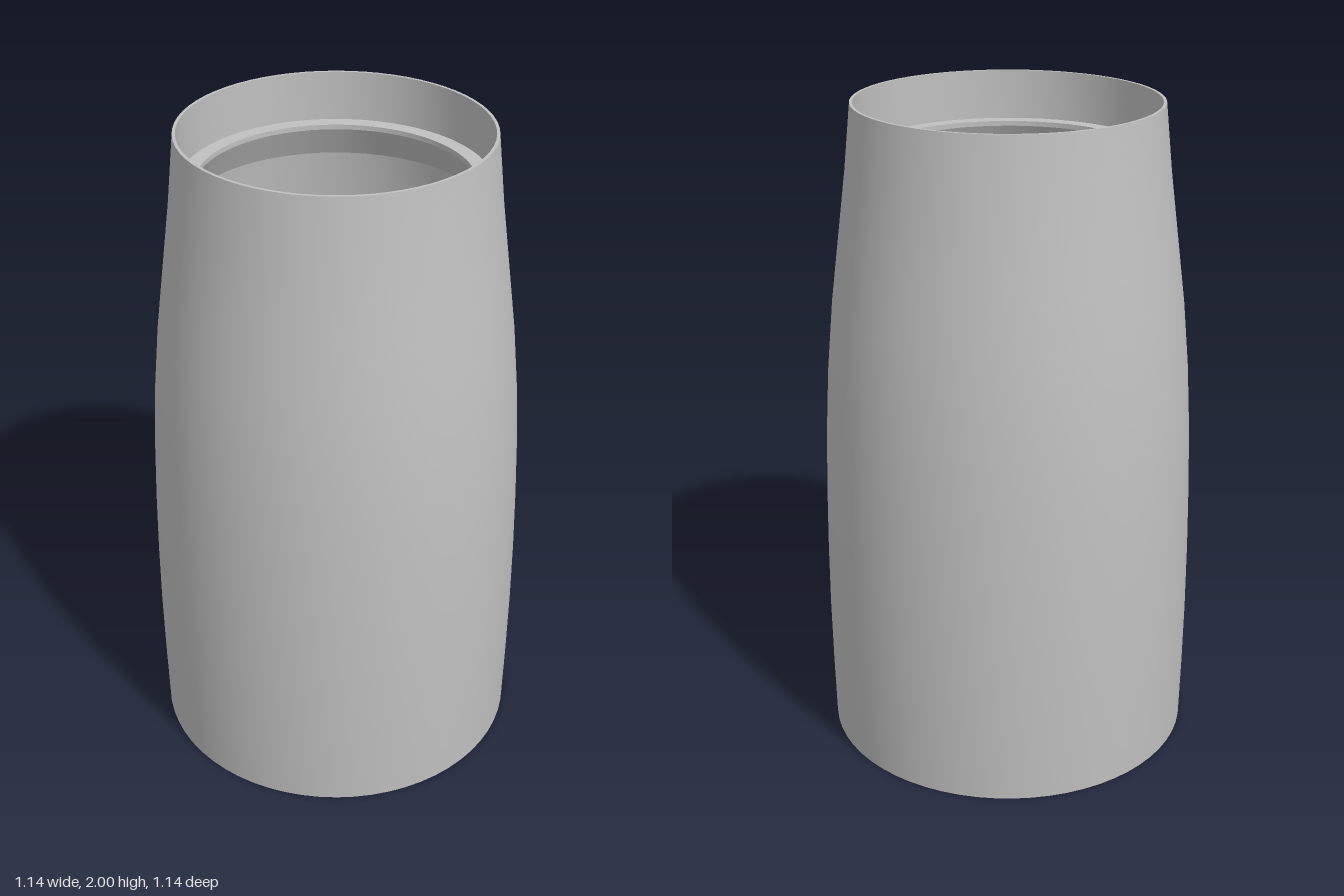
import * as THREE from 'three';
import { toCreasedNormals } from 'three/addons/utils/BufferGeometryUtils.js';

const FLOOR = 0.05;  // floor thickness
const WALL = 0.035;  // shell thickness below the lip

// Hole outlines for the floor (shape y points to the back)
function rectHole(x0, x1, y0, y1) {
  const p = new THREE.Path();
  p.moveTo(x0, y0);
  p.lineTo(x0, y1);
  p.lineTo(x1, y1);
  p.lineTo(x1, y0);
  p.closePath();
  return p;
}

function roundHole(x, y, r) {
  return new THREE.Path().absarc(x, y, r, 0, Math.PI * 2, true);
}

export function createModel() {
  const group = new THREE.Group();
  group.name = 'hollowHousing';
  const grey = new THREE.MeshStandardMaterial({ color: 0xc0c0c0 });
  grey.name = 'plain grey';

  const add = (name, geometry) => {
    const mesh = new THREE.Mesh(geometry, grey);
    mesh.name = name;
    group.add(mesh);
  };
  const lathe = (points) => toCreasedNormals(
    new THREE.LatheGeometry(points.map(([r, y]) => new THREE.Vector2(r, y)), 64), Math.PI / 7);

  // Tapered outer skin, from the base edge up to the rim
  const skin = [
    [0.565, 0], [0.569, 0.2], [0.571, 0.4], [0.57, 0.6], [0.566, 0.8], [0.559, 1.0],
    [0.547, 1.2], [0.528, 1.4], [0.502, 1.6], [0.476, 1.8], [0.455, 2],
  ];
  add('outerWall', lathe([[0.545, 0], ...skin]));

  // Thin rim, recess and inward lip with a sloping underside
  add('rimAndLip', lathe([
    [0.455, 2], [0.446, 2], [0.446, 1.85], [0.4, 1.85], [0.4, 1.835], [0.447, 1.74],
  ]));

  // Inner wall follows the outer skin down to the floor
  const inner = skin.slice(1, -2).reverse().map(([r, y]) => [r - WALL, y]);
  add('innerWall', lathe([[0.447, 1.74], ...inner, [0.53, FLOOR]]));

  // Floor with strap slots, back slot, cable hole and four screw holes
  const floor = new THREE.Shape().absarc(0, 0, 0.55, 0, Math.PI * 2, false);
  floor.holes.push(rectHole(-0.145, 0.145, 0.31, 0.4));
  for (const s of [-1, 1]) floor.holes.push(rectHole(s * 0.28 - 0.02, s * 0.28 + 0.02, -0.127, 0.127));
  floor.holes.push(roundHole(0, -0.365, 0.059));
  for (let i = 0; i < 4; i++) {
    const a = THREE.MathUtils.degToRad(40 + 90 * i);
    floor.holes.push(roundHole(0.505 * Math.cos(a), 0.505 * Math.sin(a), 0.017));
  }
  const floorGeometry = new THREE.ExtrudeGeometry(floor, { depth: FLOOR, bevelEnabled: false, curveSegments: 32 });
  floorGeometry.rotateX(-Math.PI / 2);
  add('floor', floorGeometry);

  return group;
}
